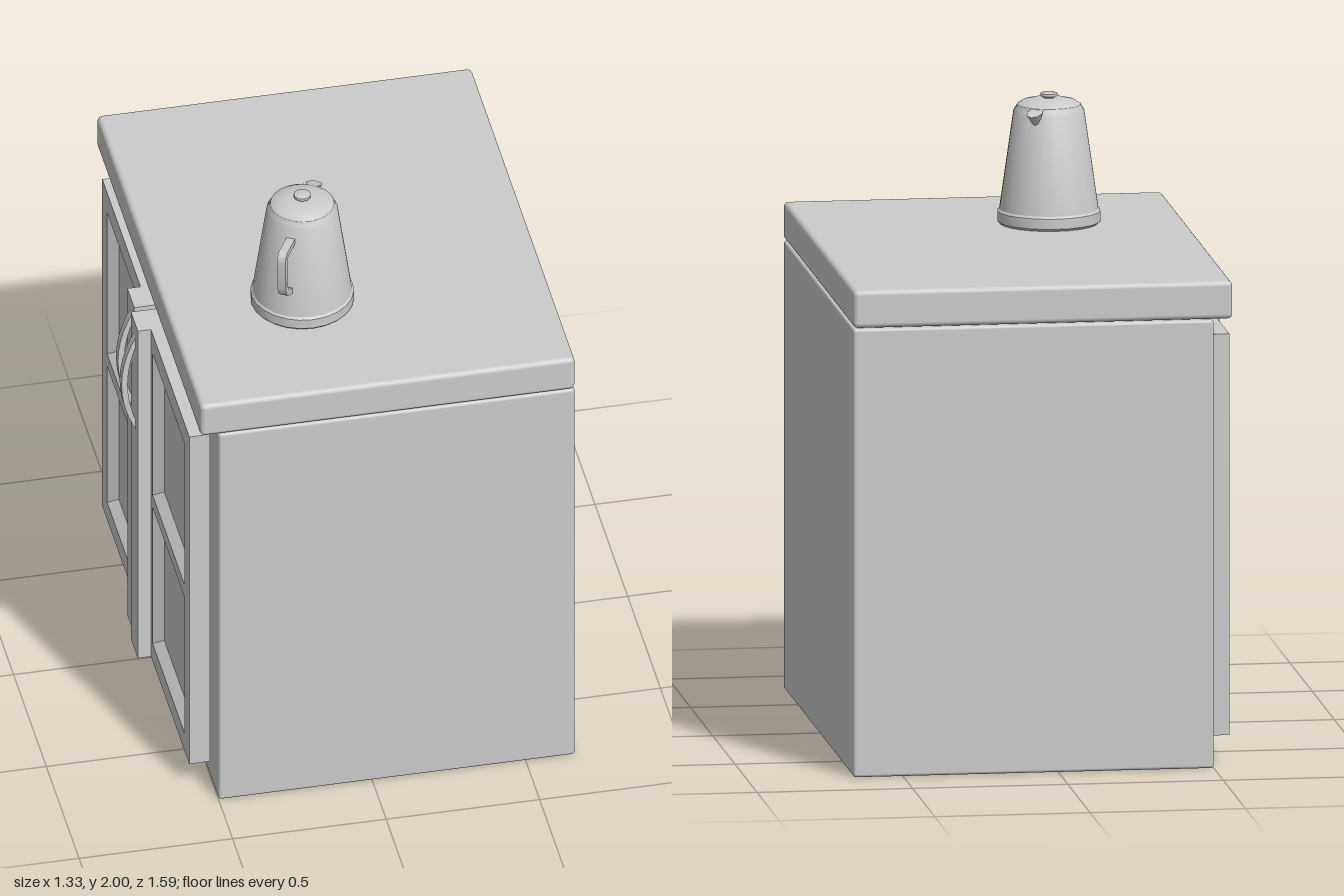
import * as THREE from 'three';
import { RoundedBoxGeometry } from 'three/addons/geometries/RoundedBoxGeometry.js';
import { toCreasedNormals } from 'three/addons/utils/BufferGeometryUtils.js';

const grey = new THREE.MeshStandardMaterial({ color: 0xcccccc });

function add(parent, name, geometry, x = 0, y = 0, z = 0) {
  const mesh = new THREE.Mesh(geometry, grey);
  mesh.name = name;
  mesh.position.set(x, y, z);
  parent.add(mesh);
  return mesh;
}

// Box given by its lower and upper corners, with softened edges
function addSlab(parent, name, lo, hi, radius) {
  const size = hi.map((v, i) => v - lo[i]);
  const mid = hi.map((v, i) => (v + lo[i]) / 2);
  add(parent, name, new RoundedBoxGeometry(...size, 3, radius), ...mid);
}

function rectangle(l, b, r, t, Type = THREE.Shape) {
  return new Type([[l, b], [r, b], [r, t], [l, t]].map(p => new THREE.Vector2(...p)));
}

// Sunken panel: four sloping sides running down to a flat back
function panelGeometry([l, b, r, t], front, back, slope) {
  const ring = (s, z) => [[l + s, b + s, z], [r - s, b + s, z], [r - s, t - s, z], [l + s, t - s, z]];
  const outer = ring(0, front), inner = ring(slope, back), pos = [];
  const quad = (p, q, u, v) => pos.push(...p, ...q, ...u, ...p, ...u, ...v);
  for (let i = 0; i < 4; i++) {
    const j = (i + 1) % 4;
    quad(outer[i], outer[j], inner[j], inner[i]);
  }
  quad(...inner);
  const g = new THREE.BufferGeometry();
  g.setAttribute('position', new THREE.Float32BufferAttribute(pos, 3));
  g.computeVertexNormals();
  return g;
}

// Door drawn facing +z, then turned to face -x. side: +1 or -1 along z
function makeDoor(side, backX) {
  const door = new THREE.Group();
  door.name = side > 0 ? 'frontDoor' : 'backDoor';
  const span = (a, b) => (side > 0 ? [a, b] : [-b, -a]);
  const thick = 0.067;

  // Frame with two openings
  const [l, r] = span(0.01, 0.7);
  const [pl, pr] = span(0.14, 0.625);
  const openings = [[pl, 0.16, pr, 0.7], [pl, 0.75, pr, 1.31]];
  const frame = rectangle(l, 0.09, r, 1.39);
  openings.forEach(o => frame.holes.push(rectangle(...o, THREE.Path)));
  add(door, 'doorFrame', new THREE.ExtrudeGeometry(frame, { depth: thick, bevelEnabled: false }));
  openings.forEach(o => add(door, 'doorPanel', panelGeometry(o, thick, 0.035, 0.028)));

  // Thick meeting stile
  const [sl, sr] = span(0.01, 0.115);
  add(door, 'meetingStile', new THREE.BoxGeometry(sr - sl, 1.3, 0.11), (sl + sr) / 2, 0.74, 0.055);

  // Bowed pull handle
  const bow = new THREE.Shape();
  bow.moveTo(-0.005, 1.345);
  bow.quadraticCurveTo(0.095, 1.155, -0.005, 0.965);
  bow.lineTo(-0.005, 1.0);
  bow.quadraticCurveTo(0.055, 1.155, -0.005, 1.31);
  const handle = new THREE.ExtrudeGeometry(bow, { depth: 0.03, bevelEnabled: false, curveSegments: 10 });
  handle.translate(0, 0, -0.015).rotateY(-Math.PI / 2);
  add(door, 'doorHandle', toCreasedNormals(handle, 0.6), side * 0.063, 0, 0.11);

  door.rotation.y = -Math.PI / 2;
  door.position.x = backX;
  return door;
}

function makePot() {
  const pot = new THREE.Group();
  pot.name = 'coffeePot';
  const lathe = pts => toCreasedNormals(
    new THREE.LatheGeometry(pts.map(p => new THREE.Vector2(...p)), 24), 0.5);

  add(pot, 'potBody', lathe([[0, 0], [0.155, 0], [0.165, 0.01], [0.165, 0.043],
    [0.159, 0.05], [0.114, 0.365], [0.107, 0.378]]));
  add(pot, 'potLid', lathe([[0.107, 0.375], [0.102, 0.387], [0.085, 0.398], [0.055, 0.405], [0, 0.408]]));
  add(pot, 'lidKnob', lathe([[0.018, 0.4], [0.018, 0.41], [0.027, 0.413], [0.027, 0.422], [0.02, 0.425], [0, 0.425]]));

  // Flat strap handle, reaching out along +x
  const strap = new THREE.Shape();
  strap.moveTo(0.105, 0.33);
  strap.lineTo(0.19, 0.33);
  strap.quadraticCurveTo(0.216, 0.33, 0.216, 0.3);
  strap.lineTo(0.212, 0.2);
  strap.quadraticCurveTo(0.208, 0.165, 0.182, 0.15);
  strap.lineTo(0.13, 0.125);
  strap.lineTo(0.13, 0.147);
  strap.lineTo(0.17, 0.167);
  strap.quadraticCurveTo(0.189, 0.178, 0.19, 0.2);
  strap.lineTo(0.194, 0.295);
  strap.quadraticCurveTo(0.194, 0.31, 0.18, 0.31);
  strap.lineTo(0.105, 0.31);
  const handle = new THREE.ExtrudeGeometry(strap, { depth: 0.028, bevelEnabled: false, curveSegments: 5 });
  add(pot, 'potHandle', toCreasedNormals(handle.translate(0, 0, -0.014), 0.6));

  // Small pouring lip opposite the handle
  const lip = new THREE.CylinderGeometry(0.027, 0.006, 0.05, 8);
  lip.scale(1.2, 1, 1).rotateZ(0.35);
  add(pot, 'pouringLip', lip, -0.112, 0.355, 0);

  pot.position.set(-0.125, 1.575, 0.305);
  pot.rotation.y = -Math.PI * 2 / 3;
  return pot;
}

export function createModel() {
  const model = new THREE.Group();
  model.name = 'cabinetWithCoffeePot';
  addSlab(model, 'cabinetBody', [-0.5, 0, -0.79], [0.66, 1.452, 0.79], 0.01);
  addSlab(model, 'countertop', [-0.56, 1.455, -0.795], [0.66, 1.577, 0.795], 0.016);
  model.add(makeDoor(-1, -0.495), makeDoor(1, -0.51), makePot());
  return model;
}
